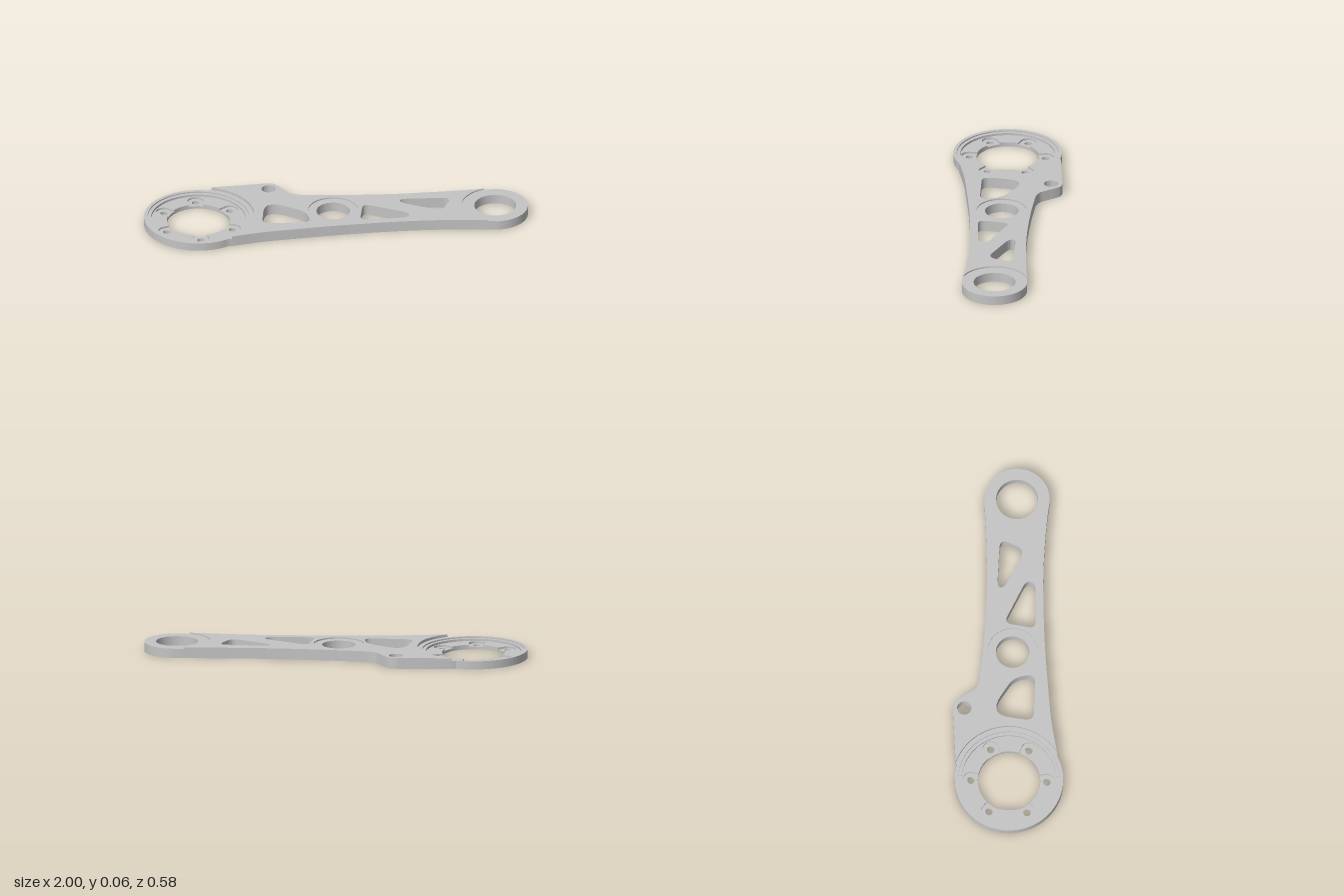
import * as THREE from 'three';
import { toCreasedNormals } from 'three/addons/utils/BufferGeometryUtils.js';

// All plan coordinates are (x, z) pairs.
const HUB = [-0.718, 0.01], TIP = [0.83, 0.01], MID = [-0.015, 0.01];
const DEG = Math.PI / 180;

// Points along an arc, angles in degrees from +x towards +z
function arc([cx, cz], r, from, to, n = 48) {
  return Array.from({ length: n + 1 }, (_, i) => {
    const a = (from + (to - from) * i / n) * DEG;
    return [cx + r * Math.cos(a), cz + r * Math.sin(a)];
  });
}
const circle = (c, r, n = 64) => arc(c, r, 0, 360, n).slice(0, n);

// Smooth edge through a few points
function spline(points, n = 60) {
  const curve = new THREE.CatmullRomCurve3(points.map(([x, z]) => new THREE.Vector3(x, 0, z)), false, 'centripetal');
  return curve.getPoints(n).map(p => [p.x, p.z]);
}

// Polygon with rounded corners
function rounded(corners, r) {
  const out = [], n = corners.length;
  corners.forEach((c, i) => {
    const toward = (q) => {
      const d = Math.hypot(q[0] - c[0], q[1] - c[1]);
      const t = Math.min(r / d, 0.46);
      return new THREE.Vector2(c[0] + (q[0] - c[0]) * t, c[1] + (q[1] - c[1]) * t);
    };
    const bend = new THREE.QuadraticBezierCurve(
      toward(corners[(i + n - 1) % n]), new THREE.Vector2(...c), toward(corners[(i + 1) % n]));
    bend.getPoints(8).forEach(p => out.push([p.x, p.y]));
  });
  return out;
}

// Bore of the hub widened by six bolt pockets
function pocketedBore(bore, boltR, pocketR) {
  return Array.from({ length: 360 }, (_, i) => {
    const d = ((i % 60) - 30) * DEG, s = boltR * Math.sin(d);
    const r = Math.abs(s) < pocketR
      ? Math.max(bore, boltR * Math.cos(d) + Math.sqrt(pocketR * pocketR - s * s)) : bore;
    return [HUB[0] + r * Math.cos(i * DEG), HUB[1] + r * Math.sin(i * DEG)];
  });
}

export function createModel() {
  const group = new THREE.Group();
  const metal = new THREE.MeshStandardMaterial({ color: 0xc4c4c4 });
  metal.name = 'light grey';

  // Extrude one level of the plate from y0 to y1; holes wind against the outline
  function layer(name, outline, holes, y0, y1) {
    const wind = (pts, clockwise) => {
      const v = pts.map(([x, z]) => new THREE.Vector2(x, -z));
      return THREE.ShapeUtils.isClockWise(v) === clockwise ? v : v.reverse();
    };
    const shape = new THREE.Shape(wind(outline, false));
    shape.holes = holes.map(h => new THREE.Path(wind(h, true)));
    const geo = new THREE.ExtrudeGeometry(shape, { depth: y1 - y0, bevelEnabled: false });
    geo.rotateX(-Math.PI / 2).translate(0, y0, 0);
    const mesh = new THREE.Mesh(toCreasedNormals(geo, 0.5), metal);
    mesh.name = name;
    group.add(mesh);
  }

  // Long edges of the arm; the back one carries the lug
  const backEdge = [
    [-0.63, -0.27],
    ...spline([[-0.38, -0.289], [-0.335, -0.292], [-0.305, -0.285], [-0.283, -0.262], [-0.25, -0.212],
      [-0.228, -0.182], [-0.193, -0.163], [-0.12, -0.154], [0, -0.144], [0.25, -0.134],
      [0.46, -0.137], [0.7, -0.15], [0.78, -0.157]]),
  ];
  const frontEdge = spline([[0.78, 0.175], [0.7, 0.168], [0.46, 0.158], [0.25, 0.163], [0, 0.179],
    [-0.235, 0.203], [-0.395, 0.222], [-0.56, 0.255]], 40);

  // Ends: full rounds, or hollows where the raised arm is cut back
  const tipRound = arc(TIP, 0.17, -90, 90);
  const tipHollow = arc(TIP, 0.173, 253, 107).slice(1, -1);
  const hubRound = arc(HUB, 0.282, 61, 284, 80);
  const hubHollow = arc(HUB, 0.291, 57, -72).slice(1, -1);
  const full = [...backEdge, ...tipRound, ...frontEdge, ...hubRound];
  const arm = [...backEdge, ...tipRound, ...frontEdge, ...hubHollow];
  const raised = [...backEdge, ...tipHollow, ...frontEdge, ...hubHollow];

  // Openings through the whole thickness
  const windows = [
    rounded([[-0.394, 0.13], [-0.376, -0.02], [-0.352, -0.066], [-0.295, -0.066], [-0.16, 0.018], [-0.135, 0.13]], 0.048),
    rounded([[0.116, 0.127], [0.143, -0.04], [0.38, 0.07], [0.366, 0.118]], 0.042),
    rounded([[0.338, -0.08], [0.608, -0.073], [0.55, 0.06], [0.338, -0.042]], 0.05),
    circle([-0.334, -0.233], 0.037, 32),
  ];
  const through = [...windows, circle(TIP, 0.109), circle(MID, 0.087)];
  const boltHoles = [];
  for (let i = 0; i < 6; i++) {
    const a = (30 + i * 60) * DEG;
    boltHoles.push(circle([HUB[0] + 0.198 * Math.cos(a), HUB[1] + 0.198 * Math.sin(a)], 0.019, 24));
  }

  // Levels from the base up
  layer('basePlate', full, [...through, circle(HUB, 0.163), ...boltHoles], 0, 0.014);
  layer('boltPockets', full, [...through, pocketedBore(0.163, 0.198, 0.043)], 0.014, 0.024);
  layer('hubRecess', full, [...through, circle(HUB, 0.247, 80)], 0.024, 0.036);
  layer('hubRim', full, [...through, circle(HUB, 0.265, 80)], 0.036, 0.043);
  layer('armBody', arm, through, 0.043, 0.05);
  layer('raisedArm', raised, [...windows, circle(MID, 0.13)], 0.05, 0.057);
  return group;
}
